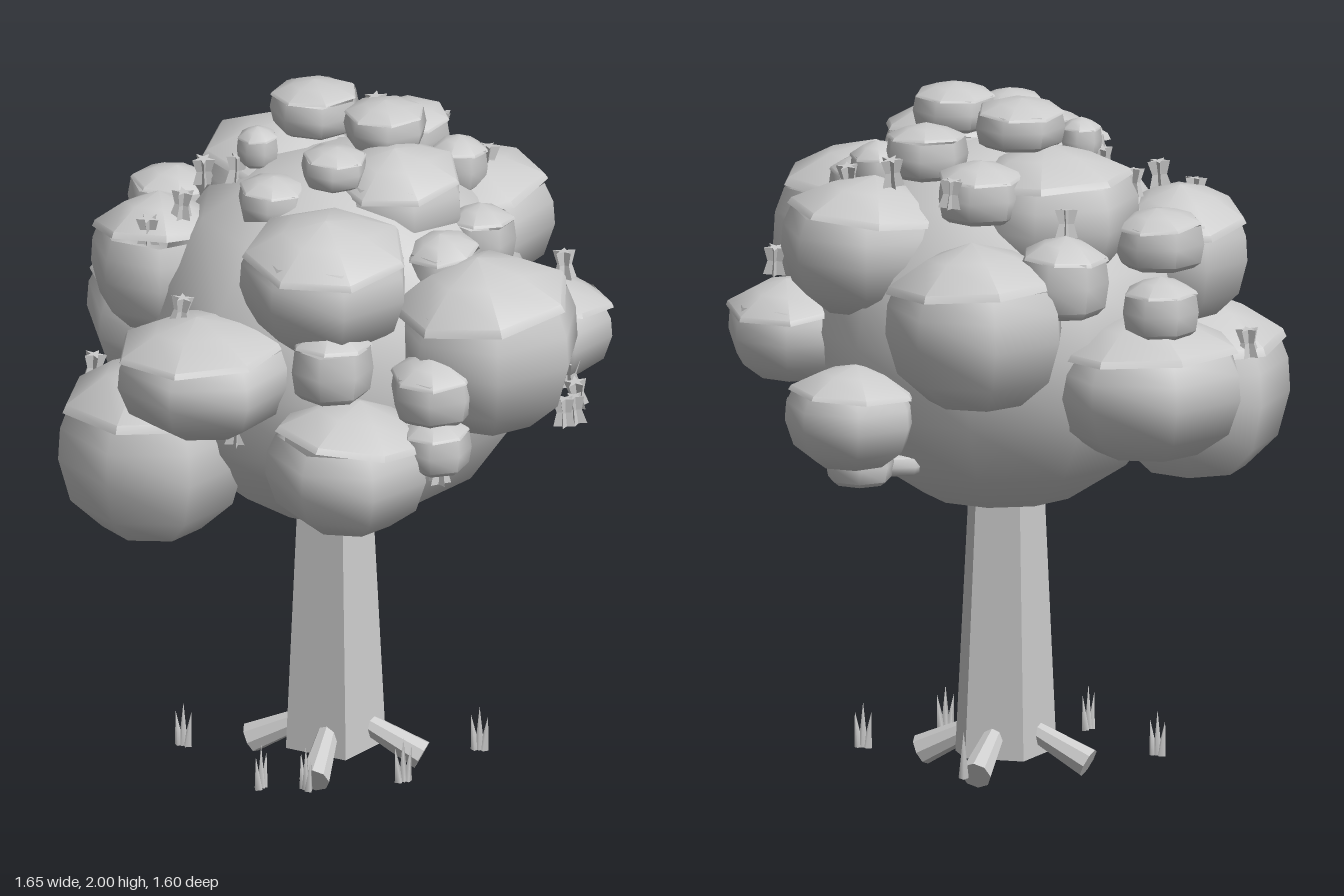
import * as THREE from 'three';
import { toCreasedNormals } from 'three/addons/utils/BufferGeometryUtils.js';
import { ConvexGeometry } from 'three/addons/geometries/ConvexGeometry.js';

const grey = new THREE.MeshStandardMaterial({ color: 0xcccccc, side: THREE.DoubleSide });
const V = (x, y) => new THREE.Vector2(x, y);

export function createModel() {
  const tree = new THREE.Group();
  tree.name = 'tree';

  const add = (parent, geometry, name, x = 0, y = 0, z = 0) => {
    const mesh = new THREE.Mesh(geometry, grey);
    mesh.name = name;
    mesh.position.set(x, y, z);
    parent.add(mesh);
    return mesh;
  };

  // Tapered trunk with an uneven five-sided section
  const section = [[0.09, 0.115], [0.138, -0.06], [0.07, -0.13], [-0.095, -0.09], [-0.1, 0.1]];
  const trunkPoints = [];
  for (const [x, z] of section) {
    trunkPoints.push(new THREE.Vector3(x, 0.05, z), new THREE.Vector3(x * 0.72, 0.9, z * 0.72));
  }
  add(tree, new ConvexGeometry(trunkPoints), 'trunk');

  // Four stubby ribbed roots sloping down from the trunk
  const rootGeo = toCreasedNormals(new THREE.CylinderGeometry(0.028, 0.044, 0.2, 8), 0.5);
  for (let i = 0; i < 4; i++) {
    const arm = new THREE.Group();
    arm.name = 'root';
    arm.position.x = 0.012;
    arm.rotation.y = i * Math.PI / 2 + 0.15;
    add(arm, rootGeo, 'rootStub', 0.16, 0.08, 0).rotation.z = 1.1;
    tree.add(arm);
  }

  // Grass tufts: three narrow leaning blades each
  const bladeGeo = new THREE.ConeGeometry(0.014, 0.13, 4);
  [[-0.38, 0.18], [-0.06, 0.37], [0.06, 0.33], [0.29, 0.17], [-0.02, -0.31], [0.4, -0.12]].forEach(([x, z], i) => {
    const tuft = new THREE.Group();
    tuft.name = 'grassTuft';
    tuft.position.set(x, 0.045, z);
    tuft.rotation.y = i * 1.3;
    for (let k = -1; k <= 1; k++) {
      const blade = add(tuft, bladeGeo, 'grassBlade', k * 0.018, k ? 0.05 : 0.065, 0);
      blade.rotation.z = -k * 0.12;
      blade.scale.y = k ? 0.8 : 1;
    }
    tree.add(tuft);
  });

  // Central mass of the crown
  const core = add(tree, new THREE.SphereGeometry(1, 10, 8), 'crownCore', 0.02, 1.31, -0.01);
  core.scale.set(0.565, 0.545, 0.565);

  // Leaf clumps: seven-sided bodies under a shallow pointed cap; small ones are drum-like
  const capGeo = toCreasedNormals(new THREE.LatheGeometry(
    [V(0.85, 0.44), V(0.97, 0.46), V(0.93, 0.55), V(0.5, 0.83), V(0, 1)], 7), 0.6);
  const largeBody = new THREE.LatheGeometry(
    [V(0, -1), V(0.53, -0.9), V(0.87, -0.58), V(1, -0.1), V(0.98, 0.25), V(0.88, 0.52)], 7);
  const drumBody = toCreasedNormals(new THREE.LatheGeometry(
    [V(0, -1), V(0.75, -0.88), V(0.92, -0.7), V(1, -0.1), V(0.93, 0.5)], 7), 0.95);
  const clump = (name, bodyGeo, [x, y, z, r, h], i) => {
    const group = new THREE.Group();
    group.name = name;
    group.position.set(x, y, z);
    group.scale.set(r, h, r);
    add(group, bodyGeo, 'body').rotation.y = i * 1.7;
    const cap = add(group, capGeo, 'cap');
    cap.rotation.set(0.1 * Math.sin(i * 2.3), i * 1.7 + 0.1, 0.1 * Math.cos(i * 3.1));
    tree.add(group);
  };

  // Large clumps: x, y, z, radius, half height
  [
    [-0.16, 1.37, 0.54, 0.255, 0.17], [-0.37, 1.07, 0.425, 0.27, 0.27],
    [0.28, 1.165, 0.54, 0.235, 0.19], [0.14, 1.64, 0.37, 0.245, 0.2],
    [0.56, 1.46, 0.2, 0.27, 0.26], [-0.46, 1.52, 0.17, 0.195, 0.2],
    [-0.54, 1.21, -0.18, 0.28, 0.21], [-0.19, 1.42, -0.55, 0.26, 0.24],
    [0.2, 1.12, -0.57, 0.19, 0.15], [0.26, 1.57, -0.37, 0.245, 0.2],
    [0.52, 1.29, -0.32, 0.19, 0.15], [-0.22, 1.67, -0.16, 0.25, 0.2],
    [0.2, 1.75, 0, 0.195, 0.17],
  ].forEach((c, i) => clump('largeClump', largeBody, c, i));

  // Small clumps filling the gaps, the top and the underside at the back
  [
    [-0.12, 1.92, -0.16, 0.13, 0.075], [0.12, 1.93, -0.1, 0.12, 0.07],
    [0.06, 1.88, 0.13, 0.095, 0.06], [-0.1, 1.78, 0.2, 0.1, 0.07],
    [0.41, 1.65, 0.16, 0.11, 0.1], [0.43, 1.66, -0.06, 0.1, 0.09],
    [0.27, 1.77, -0.27, 0.085, 0.08], [0.11, 1.84, -0.29, 0.12, 0.08],
    [-0.1, 1.76, -0.36, 0.13, 0.09], [-0.4, 1.56, -0.43, 0.13, 0.12],
    [-0.6, 1.45, -0.22, 0.11, 0.09], [-0.52, 1.61, -0.07, 0.13, 0.09],
    [0.49, 1.39, 0.42, 0.125, 0.1], [0.52, 1.24, 0.47, 0.1, 0.08],
    [0.21, 1.45, 0.5, 0.12, 0.11], [0.2, 0.98, -0.52, 0.1, 0.07],
    [0.42, 1.06, -0.36, 0.09, 0.08], [-0.22, 1.85, 0.02, 0.06, 0.06],
    [0.2, 0.96, -0.36, 0.15, 0.04],
  ].forEach((c, i) => clump('smallClump', drumBody, c, i + 13));

  // Small star-shaped leaves, pinched at mid height
  const star = new THREE.Shape();
  for (let i = 0; i < 10; i++) {
    const r = i % 2 ? 0.012 : 0.034, a = i * Math.PI / 5;
    star[i ? 'lineTo' : 'moveTo'](r * Math.cos(a), r * Math.sin(a));
  }
  const leafGeo = new THREE.ExtrudeGeometry(star, { depth: 0.08, steps: 2, bevelEnabled: false });
  leafGeo.translate(0, 0, -0.04).rotateX(-Math.PI / 2);
  const p = leafGeo.attributes.position;
  for (let i = 0; i < p.count; i++) {
    const pinch = Math.abs(p.getY(i)) < 0.01 ? 0.65 : 1;
    p.setX(i, p.getX(i) * pinch);
    p.setZ(i, p.getZ(i) * pinch);
  }
  leafGeo.computeVertexNormals();
  [
    [0.7, 1.15, -0.1], [0.68, 1.17, -0.16], [0.63, 1.2, -0.22], [0.69, 1.16, -0.05],
    [0.57, 1.48, -0.33], [0.32, 1.75, -0.36], [0.15, 1.8, -0.42], [-0.08, 1.78, -0.5],
    [-0.39, 1.74, 0.01], [-0.37, 1.72, 0.21], [-0.25, 1.6, 0.24], [-0.27, 1.78, 0.05],
    [-0.24, 1.54, 0.52], [-0.59, 1.23, 0.33], [-0.44, 1.66, 0.29], [-0.38, 1.7, -0.37],
    [0.6, 1.43, -0.06], [0.58, 1.38, -0.14], [0.5, 1.13, 0.4], [-0.08, 1.19, 0.5],
  ].forEach(([x, y, z], i) => {
    const leaf = add(tree, leafGeo, 'starLeaf', x, y, z);
    leaf.rotation.set(0.12 * Math.sin(i), i * 0.8, 0.12 * Math.cos(i));
  });

  return tree;
}
